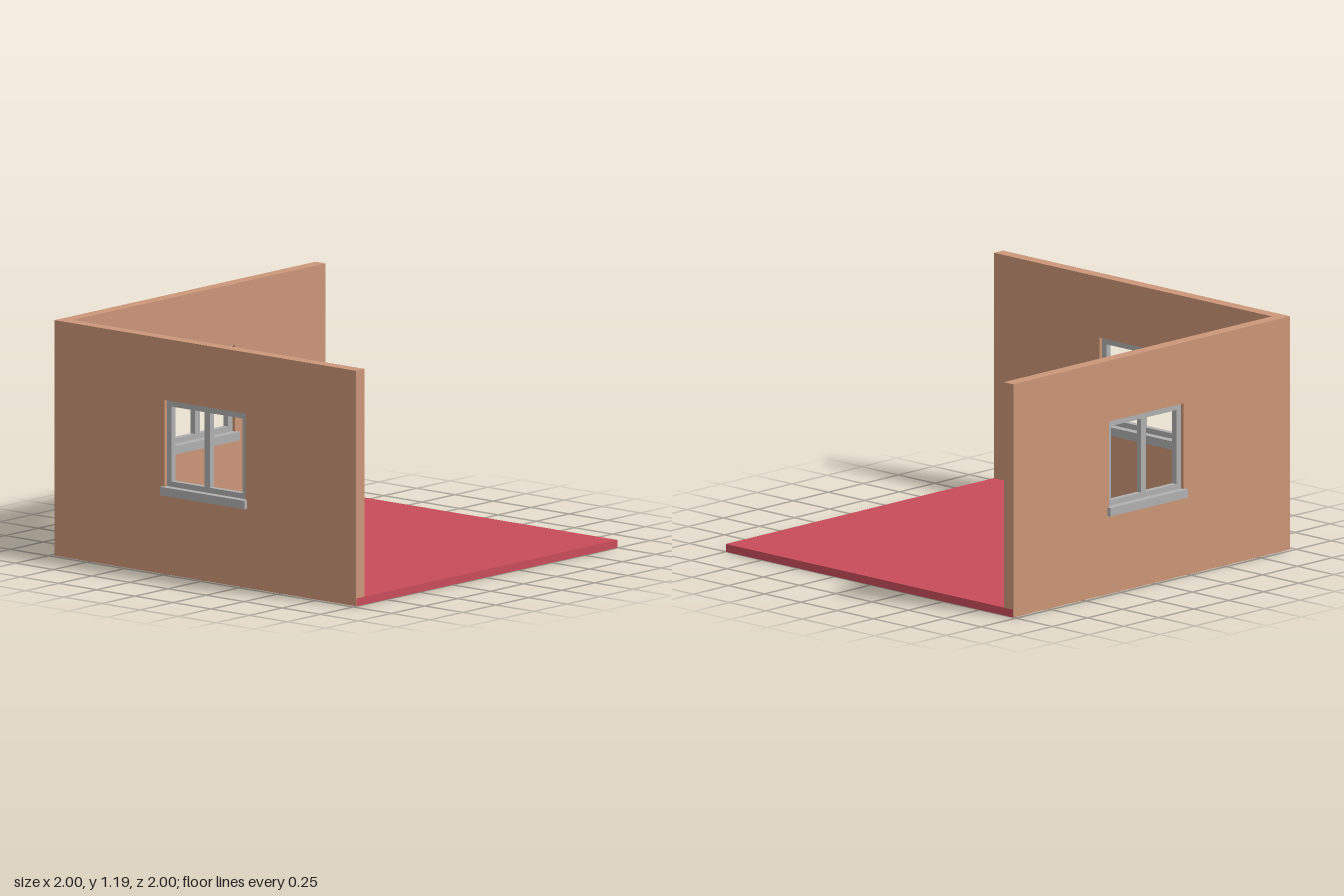
import * as THREE from 'three';

const DEPTH = 0.065, TOP = 1.19;
const paint = (color) => new THREE.MeshStandardMaterial({ color });
const plaster = paint(0xcc9678), red = paint(0xc94c5a), grey = paint(0xb0b0b0);

function rectangle(Type, x0, y0, x1, y1) {
  const r = new Type();
  r.moveTo(x0, y0).lineTo(x1, y0).lineTo(x1, y1).lineTo(x0, y1).closePath();
  return r;
}

function slab(name, shape, depth, material) {
  const geo = new THREE.ExtrudeGeometry(shape, { depth, bevelEnabled: false });
  geo.translate(0, 0, -depth / 2);
  const mesh = new THREE.Mesh(geo, material);
  mesh.name = name;
  return mesh;
}

function box(name, x0, x1, y0, y1, z0, z1, material) {
  const mesh = new THREE.Mesh(new THREE.BoxGeometry(x1 - x0, y1 - y0, z1 - z0), material);
  mesh.position.set((x0 + x1) / 2, (y0 + y1) / 2, (z0 + z1) / 2);
  mesh.name = name;
  return mesh;
}

// Two-pane window: recessed frame with a centre mullion, and a sill through the wall
function makeWindow(cx) {
  const g = new THREE.Group();
  g.name = 'window';
  const frame = rectangle(THREE.Shape, -0.265, 0.44, 0.265, 0.88);
  for (const s of [-1, 1]) {
    const inner = s * 0.018, outer = s * 0.233;
    frame.holes.push(rectangle(THREE.Path, Math.min(inner, outer), 0.47, Math.max(inner, outer), 0.848));
  }
  g.add(slab('windowFrame', frame, 0.03, grey));
  g.add(box('windowSill', -0.276, 0.276, 0.4, 0.443, -0.055, 0.0525, grey));
  g.position.x = cx;
  return g;
}

// Wall along local x with its outer face towards +z, pierced for the window
function makeWall(name, x0, x1, cx) {
  const g = new THREE.Group();
  g.name = name;
  const shape = rectangle(THREE.Shape, x0, 0.001, x1, TOP);
  shape.holes.push(rectangle(THREE.Path, cx - 0.265, 0.42, cx + 0.265, 0.88));
  g.add(slab('wallPanel', shape, DEPTH, plaster), makeWindow(cx));
  return g;
}

export function createModel() {
  const model = new THREE.Group();
  model.name = 'roomCorner';

  // Floor slab, kept just behind the outer wall faces
  model.add(box('floor', -0.978, 1, 0, 0.04, -1, 0.976, red));

  // Front wall runs through the corner; side wall butts against it
  const front = makeWall('frontWall', -0.98, 0.999, 0.007);
  front.position.z = 0.9455;
  const side = makeWall('sideWall', -0.999, 0.913, -0.05);
  side.rotation.y = -Math.PI / 2;
  side.position.x = -0.9475;
  model.add(front, side);
  return model;
}
